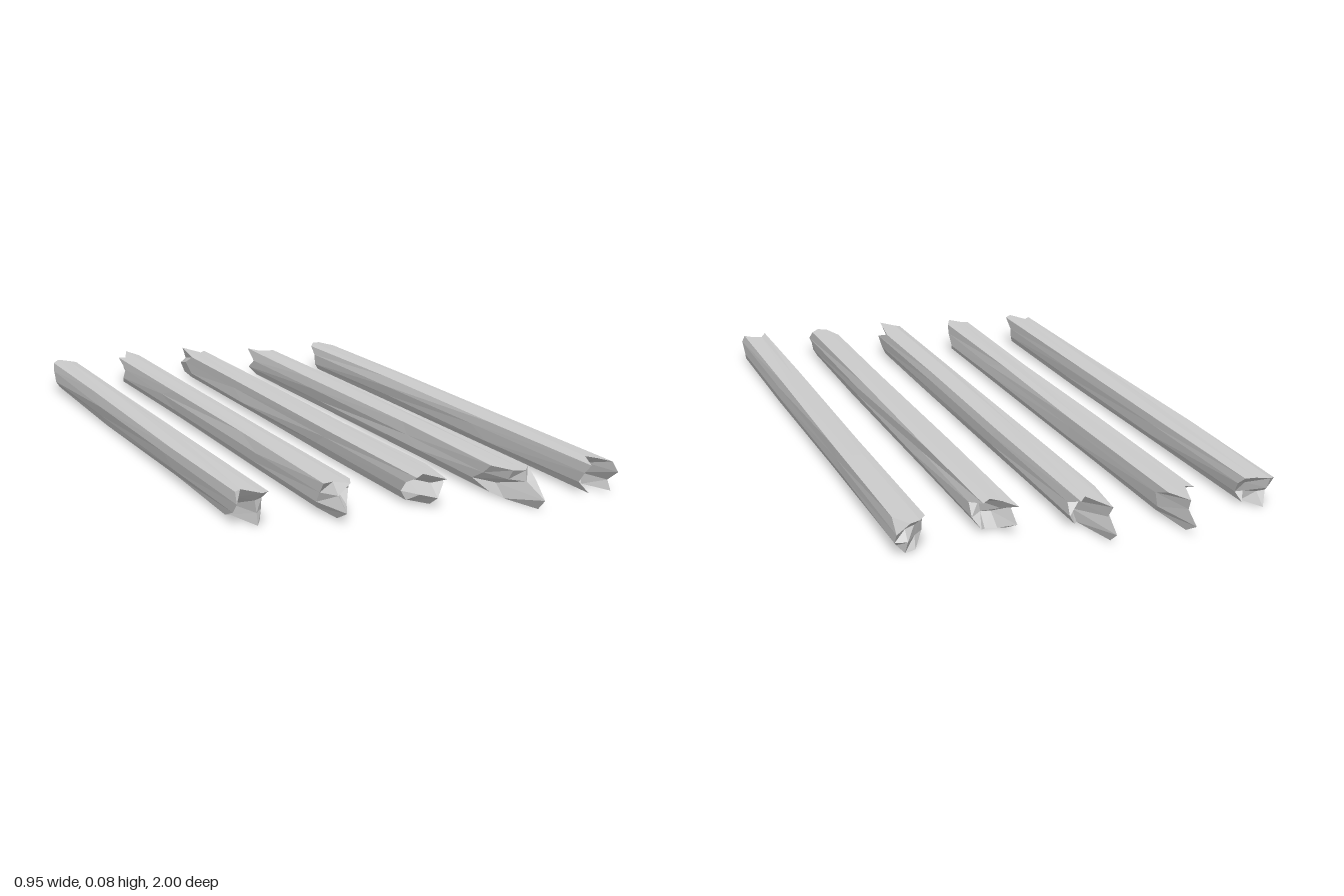
import * as THREE from 'three';

// Repeatable noise in 0..1 from integer grid coordinates
function noise(a, b, c, d) {
  const s = Math.sin(a * 12.99 + b * 78.23 + c * 37.72 + d * 9.15 + 1.3) * 43758.55;
  return s - Math.floor(s);
}

// Each beam: centre x, reach of the four end columns (left to right) at back and front,
// and how deep the splinters are torn at each end
const BEAMS = [
  { x: -0.435, back: [0.87, 0.89, 0.87, 0.86], front: [0.88, 0.84, 0.90, 0.88], tear: [0.07, 0.10] },
  { x: -0.221, back: [0.88, 0.87, 1.00, 0.90], front: [0.86, 0.94, 0.89, 0.84], tear: [0.10, 0.09] },
  { x: -0.001, back: [0.87, 1.00, 0.87, 0.90], front: [0.88, 0.87, 0.93, 0.86], tear: [0.10, 0.09] },
  { x: 0.215, back: [0.89, 0.84, 0.82, 0.84], front: [0.83, 0.90, 1.00, 0.91], tear: [0.09, 0.10] },
  { x: 0.432, back: [0.87, 0.91, 0.92, 0.91], front: [0.92, 0.85, 0.87, 0.92], tear: [0.06, 0.10] },
];

const COLS = [-0.039, -0.014, 0.014, 0.039];
const ROWS = [0.006, 0.031, 0.058, 0.085];
const RINGS = [0, -0.33, 0.33, 0];

// A 3 x 3 x 3 box grid whose vertices are moved into a worn beam with splintered ends
function beamGeometry(beam, n) {
  const geo = new THREE.BoxGeometry(3, 3, 3, 3, 3, 3);
  const p = geo.attributes.position;
  for (let v = 0; v < p.count; v++) {
    const i = Math.round(p.getX(v) + 1.5);
    const j = Math.round(p.getY(v) + 1.5);
    const k = Math.round(p.getZ(v) + 1.5);
    let x = COLS[i];
    let y = ROWS[j];

    // worn corners, rounder along the underside
    if (i === 0 || i === 3) {
      if (j === 0) { x *= 0.78; y += 0.006; }
      if (j === 3) { x *= 0.9; y -= 0.002; }
    }
    x += (noise(i, j, k, n) - 0.5) * 0.006;
    y += (noise(j, k, i, n + 7) - 0.5) * 0.005;

    // jagged ends: one row of every column reaches furthest, the others are torn back
    let z = RINGS[k] + (noise(k, i, j, n + 3) - 0.5) * 0.2;
    if (k === 0 || k === 3) {
      const reach = (k ? beam.front : beam.back)[i];
      const edge = i === 0 || i === 3;
      const peak = edge ? 3 - Math.floor(noise(i, k, n, 5) * 2) : (reach > 0.93 ? 1 : 3);
      const torn = j === peak ? 0 : beam.tear[k ? 1 : 0] * (0.15 + 0.85 * noise(i, j, k, n + 11));
      z = (reach - torn) * (k ? 1 : -1);
    }
    p.setXYZ(v, x, Math.max(y, 0.003), z);
  }
  geo.computeVertexNormals();
  return geo;
}

export function createModel() {
  const group = new THREE.Group();
  group.name = 'splinteredBeams';
  const wood = new THREE.MeshStandardMaterial({ color: 0xcccccc, flatShading: true });
  BEAMS.forEach((beam, n) => {
    const mesh = new THREE.Mesh(beamGeometry(beam, n), wood);
    mesh.name = `beam${n + 1}`;
    mesh.position.set(beam.x, 0, 0);
    group.add(mesh);
  });
  return group;
}
